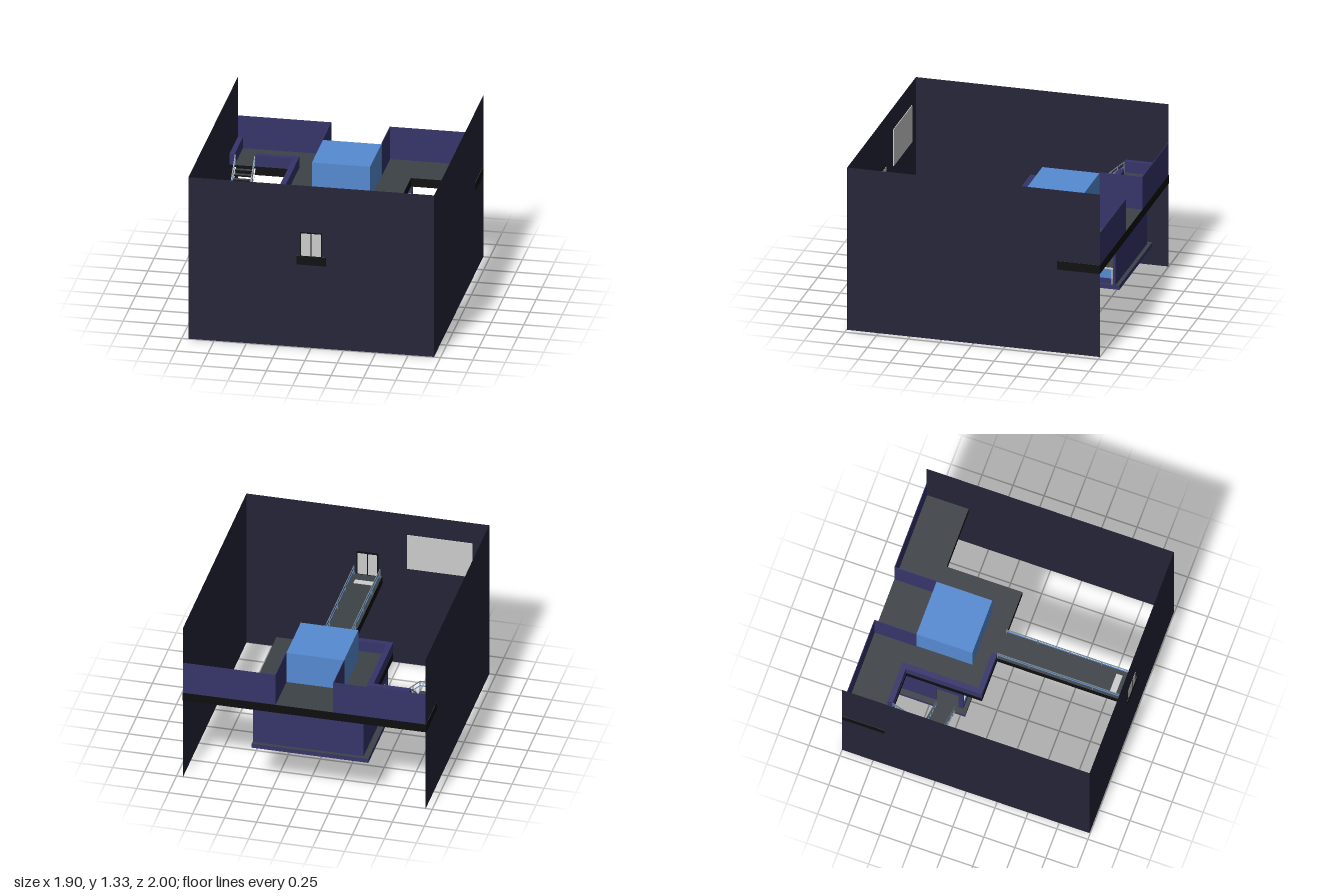
import * as THREE from 'three';

const material = (name, color, side = THREE.FrontSide) => {
  const m = new THREE.MeshStandardMaterial({ color, side });
  m.name = name;
  return m;
};

export function createModel() {
  const model = new THREE.Group();
  model.name = 'walledTerrace';

  const wall = material('dark wall', 0x242438, THREE.DoubleSide);
  const floor = material('grey floor', 0x3d4247);
  const purple = material('purple panel', 0x36346a);
  const black = material('black edge', 0x0e0e0f);
  const blue = material('blue', 0x558bd2);
  const light = material('light grey', 0xcdcdcd);
  const metal = material('rail metal', 0x77828a);

  // Box given by its limits on each axis
  const box = (name, mat, x0, x1, y0, y1, z0, z1) => {
    const mesh = new THREE.Mesh(new THREE.BoxGeometry(x1 - x0, y1 - y0, z1 - z0), mat);
    mesh.position.set((x0 + x1) / 2, (y0 + y1) / 2, (z0 + z1) / 2);
    mesh.name = name;
    model.add(mesh);
    return mesh;
  };

  // Square bar between two points
  const bar = (name, mat, a, b, t = 0.007) => {
    const p = new THREE.Vector3(...a), q = new THREE.Vector3(...b);
    const mesh = new THREE.Mesh(new THREE.BoxGeometry(t, t, p.distanceTo(q)), mat);
    mesh.position.copy(p).add(q).multiplyScalar(0.5);
    mesh.lookAt(q);
    mesh.name = name;
    model.add(mesh);
  };

  // Railing: posts, a top bar and a thinner blue middle bar
  const railing = (name, a, b, h, posts) => {
    const up = (p, d) => [p[0], p[1] + d, p[2]];
    bar(name + 'Top', metal, up(a, h), up(b, h));
    bar(name + 'Middle', blue, up(a, h * 0.55), up(b, h * 0.55), 0.006);
    for (let i = 0; i <= posts; i++) {
      const p = a.map((v, k) => v + (b[k] - v) * i / posts);
      bar(name + 'Post', metal, p, up(p, h));
    }
  };

  // Slab with a grey top; sides in box order +x, -x, +y, -y, +z, -z
  const slab = (name, edge, ...limits) =>
    box(name, [edge, edge, floor, edge, edge, edge], ...limits);

  // Three tall thin outer walls
  const plane = (name, w, x, z, turn) => {
    const mesh = new THREE.Mesh(new THREE.PlaneGeometry(w, 1.33), wall);
    mesh.position.set(x, 0.665, z);
    mesh.rotation.y = turn;
    mesh.name = name;
    model.add(mesh);
  };
  plane('frontWall', 1.9, 0, 0.995, 0);
  for (const s of [-1, 1]) plane('sideWall', 1.995, s * 0.949, -0.0025, s * Math.PI / 2);

  // Upper floor: rear strip, main deck and walkway
  const Y = 0.75;
  slab('rearFloor', black, -0.952, 0.952, 0.68, Y, -1, -0.66);
  slab('mainDeck', black, -0.455, 0.455, 0.68, Y, -0.66, -0.05);
  slab('walkway', black, -0.113, 0.113, 0.68, Y, -0.05, 1);

  // Central block on the deck
  box('centralBlock', blue, -0.225, 0.225, Y, 1.01, -0.66, -0.21);

  // Rear panels with returns towards the block
  for (const s of [-1, 1]) {
    const [a, b] = s > 0 ? [0.225, 0.948] : [-0.948, -0.225];
    box('rearPanel', purple, a, b, Y, 1.015, -1, -0.995);
    box('rearReturn', purple, s > 0 ? 0.225 : -0.23, s > 0 ? 0.23 : -0.225, Y, 1.015, -0.995, -0.66);
  }

  // Low parapets round the stair well
  const P = 0.84;
  box('sideParapet', purple, -0.948, -0.908, Y, P, -0.995, -0.66);
  box('wellParapet', purple, -0.75, -0.415, Y, P, -0.705, -0.662);
  box('deckParapet', purple, -0.458, -0.415, Y, P, -0.662, -0.05);
  box('frontParapet', purple, -0.415, -0.113, Y, P, -0.093, -0.05);

  // Walkway railings, doormat and door
  for (const s of [-1, 1]) railing('walkwayRail', [s * 0.102, Y, -0.05], [s * 0.102, Y, 0.97], 0.075, 4);
  box('doormat', light, -0.075, 0.075, Y, Y + 0.004, 0.845, 0.895);
  box('doorFrame', black, -0.085, 0.085, Y, 0.947, 0.982, 0.998);
  for (const s of [-1, 1]) {
    const x = s * 0.04;
    box('doorPane', light, x - 0.036, x + 0.036, 0.755, 0.938, 0.98, 1);
  }

  // Pale screen on the inner face of the front wall
  box('wallScreen', light, -0.82, -0.31, 0.85, 1.15, 0.987, 0.993);

  // Lower room: floor plate, rear wall, side wall with a doorway, open rails
  const L = 0.375;
  slab('lowerFloor', purple, -0.5, 0.413, 0.34, L, -1, -0.17);
  box('lowerRearWall', purple, -0.455, 0.41, L, 0.68, -0.97, -0.95);
  box('lowerSideWall', purple, -0.455, -0.44, L, 0.68, -0.95, -0.42);
  box('lowerSideWall', purple, -0.455, -0.44, L, 0.68, -0.24, -0.2);
  box('doorLintel', purple, -0.455, -0.44, 0.62, 0.68, -0.42, -0.24);
  const lowRail = (x0, x1, z0, z1) => {
    box('lowerKerb', purple, x0, x1, L, 0.42, z0, z1);
    box('lowerGlass', blue, x0 + 0.003, x1 - 0.003, 0.42, 0.495, z0, z1);
    box('lowerHandrail', light, x0, x1, 0.495, 0.503, z0, z1);
  };
  lowRail(0.385, 0.4, -0.95, -0.2);
  lowRail(-0.44, 0.385, -0.215, -0.2);
  for (let i = 0; i < 5; i++) {
    const z = -0.94 + i * 0.18;
    box('lowerPost', light, 0.383, 0.402, L, 0.503, z - 0.004, z + 0.004);
  }
  box('cornerPost', purple, 0.38, 0.405, L, 0.5, -0.22, -0.195);

  // Stairs: a flight forward, a landing, then a flight sideways
  const M = 0.57, N = 6;
  for (let i = 0; i < N; i++) {
    const y = Y - (Y - M) * (i + 1) / (N + 1);
    const z = -0.66 + i * 0.205 / N;
    slab('upperStep', black, -0.9, -0.755, y - 0.012, y, z, z + 0.205 / N);
    const y2 = M - (M - L) * (i + 1) / (N + 1);
    const x = -0.72 + i * 0.22 / N;
    slab('lowerStep', black, x, x + 0.22 / N, y2 - 0.012, y2, -0.4, -0.26);
  }
  slab('landing', black, -0.905, -0.72, M - 0.025, M, -0.455, -0.255);
  const sign = box('landingBox', purple, -0.85, -0.818, M, M + 0.03, -0.375, -0.335);
  sign.rotation.y = 0.5;

  // Stringers and railings of the stairs
  for (const x of [-0.903, -0.752]) {
    bar('upperStringer', light, [x, Y - 0.02, -0.66], [x, M - 0.01, -0.455], 0.012);
    railing('upperStairRail', [x, Y, -0.66], [x, M, -0.455], 0.085, 4);
  }
  for (const z of [-0.403, -0.257]) {
    bar('lowerStringer', light, [-0.72, M - 0.02, z], [-0.5, L, z], 0.012);
    railing('lowerStairRail', [-0.72, M, z], [-0.5, L, z], 0.085, 4);
  }
  railing('landingRail', [-0.903, M, -0.455], [-0.903, M, -0.257], 0.085, 2);
  railing('landingRail', [-0.903, M, -0.257], [-0.72, M, -0.257], 0.085, 2);
  railing('landingRail', [-0.752, M, -0.455], [-0.72, M, -0.403], 0.085, 1);

  return model;
}
